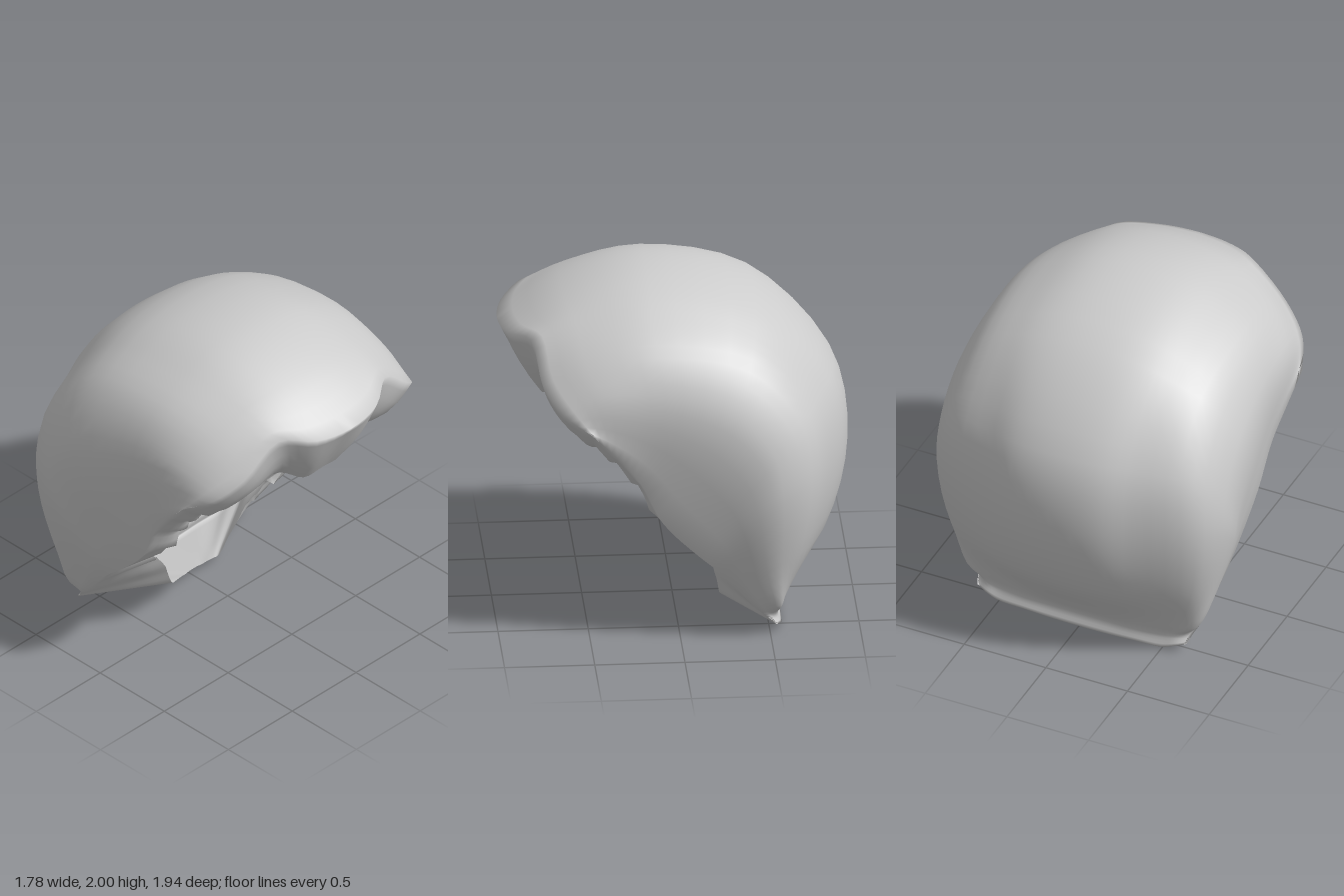
import * as THREE from 'three';
import { mergeVertices } from 'three/addons/utils/BufferGeometryUtils.js';

const V = (p) => new THREE.Vector3(...p);
const spline = (pts) => new THREE.CatmullRomCurve3(pts);
const STEP = 4; // samples between neighbouring control points

// Lengthwise curves of the shell, from front brim over the crown to the nape
const centre = [[0, 1.68, 0.97], [0, 1.89, 0.62], [0, 2, 0.15], [0, 1.855, -0.45], [0, 1.4, -0.89],
  [0, 0.96, -0.97], [0, 0.5, -0.86], [0, 0.19, -0.63], [0, 0.08, -0.56], [0, 0.005, -0.575]].map(V);
const upper = [[0.42, 1.72, 0.81], [0.44, 1.82, 0.56], [0.47, 1.89, 0.15], [0.46, 1.77, -0.43], [0.46, 1.36, -0.79],
  [0.47, 0.96, -0.86], [0.44, 0.5, -0.78], [0.38, 0.2, -0.61], [0.34, 0.08, -0.56], [0.34, 0.015, -0.575]].map(V);
const shoulder = [[0.64, 1.54, 0.76], [0.68, 1.66, 0.52], [0.72, 1.72, 0.13], [0.72, 1.62, -0.38], [0.75, 1.3, -0.67],
  [0.78, 0.95, -0.72], [0.73, 0.52, -0.66], [0.6, 0.2, -0.58], [0.51, 0.09, -0.55], [0.5, 0.02, -0.57]].map(V);
const side = [[0.78, 1.42, 0.66], [0.82, 1.48, 0.4], [0.84, 1.45, 0.1], [0.88, 1.31, -0.27], [0.89, 1.08, -0.46],
  [0.885, 0.85, -0.5], [0.8, 0.47, -0.52], [0.7, 0.2, -0.55], [0.59, 0.1, -0.54], [0.58, 0.045, -0.56]].map(V);
const sideRim = [[0.855, 1.32, 0.5], [0.83, 1.17, 0.36], [0.8, 1, 0.23], [0.775, 0.74, 0.1], [0.76, 0.54, -0.09],
  [0.75, 0.44, -0.2], [0.72, 0.3, -0.32], [0.69, 0.17, -0.43], [0.655, 0.1, -0.5], [0.64, 0.06, -0.535]].map(V);
// Broad, nearly flat strip beside the centre line
const inset = centre.map((c, i) => c.clone().lerp(upper[i], 0.25).setX(upper[i].x * 0.55));
const strands = [centre, inset, upper, shoulder, side, sideRim];

// Half outline of the face opening, top centre to bottom centre
const opening = [
  [0, 1.29, 0.74], [0.14, 1.285, 0.73], [0.25, 1.335, 0.65], [0.38, 1.26, 0.56], [0.48, 1.17, 0.47],
  [0.52, 1.11, 0.38], [0.55, 1.03, 0.3], [0.575, 0.9, 0.22], [0.57, 0.73, 0.13], [0.51, 0.57, -0.05],
  [0.45, 0.47, -0.14], [0.36, 0.36, -0.2], [0.28, 0.25, -0.21], [0.24, 0.17, -0.23], [0.18, 0.06, -0.25],
  [0.14, 0.057, -0.255], [0.1, 0.055, -0.26], [0.06, 0.05, -0.265], [0.03, 0.05, -0.27], [0, 0.05, -0.27],
].map(V);

// Adds a grid of points to a face list
function addGrid(rows, data, flip) {
  const base = data.pos.length / 3;
  const w = rows[0].length;
  rows.forEach((row) => row.forEach((p) => data.pos.push(p.x, p.y, p.z)));
  for (let i = 0; i < rows.length - 1; i++) {
    for (let j = 0; j < w - 1; j++) {
      const a = base + i * w + j, b = a + 1, c = a + w, d = c + 1;
      if (flip) data.index.push(a, c, b, b, c, d);
      else data.index.push(a, b, c, b, d, c);
    }
  }
}

const mirror = (p) => new THREE.Vector3(-p.x, p.y, p.z);

export function createModel() {
  const group = new THREE.Group();
  const grey = new THREE.MeshStandardMaterial({ color: 0xcccccc, side: THREE.DoubleSide });
  grey.name = 'light grey';
  const data = { pos: [], index: [] };

  // Outer shell: cross-sections from side to side
  const curves = strands.map(spline);
  const nu = (centre.length - 1) * STEP;
  const half = (strands.length - 1) * STEP;
  const shell = [];
  for (let i = 0; i <= nu; i++) {
    const left = curves.map((c) => c.getPoint(i / nu));
    const section = spline([...left.slice(1).reverse().map(mirror), ...left]);
    const row = [];
    for (let j = 0; j <= 2 * half; j++) row.push(section.getPoint(j / (2 * half)));
    shell.push(row);
  }
  addGrid(shell, data, false);

  // Outer rim, following the edge of the shell
  const rim = [
    ...shell[0].slice(half),
    ...shell.slice(1).map((row) => row[2 * half]),
    ...shell[nu].slice(half, 2 * half).reverse(),
  ];

  // Edge of the opening, with stepped locks at the sides
  const edge = spline(opening);
  const inner = rim.map((_, j) => {
    const p = edge.getPoint(j / (rim.length - 1));
    if (j > 16 && j < 44) {
      const tooth = (j % STEP) / STEP - 0.3;
      p.y -= 0.05 * tooth;
      p.z += 0.03 * tooth;
    }
    return p;
  });

  // Folded lip from the rim to the opening, swelling forward beside the fringe
  const lip = [0, 0.12, 0.3, 0.5, 0.7, 0.85, 1].map((t) => rim.map((p, j) => {
    const q = p.clone().lerp(inner[j], t);
    const swell = 0.055 * Math.sin(Math.PI * t) * Math.sin(Math.PI * Math.min(1, j / 32));
    q.y -= 0.6 * swell;
    q.z += 0.8 * swell;
    return q;
  }));
  addGrid(lip, data, true);
  addGrid(lip.map((row) => row.map(mirror)), data, false);

  // Weld everything so the brim shades softly
  let geometry = new THREE.BufferGeometry();
  geometry.setAttribute('position', new THREE.Float32BufferAttribute(data.pos, 3));
  geometry.setIndex(data.index);
  geometry = mergeVertices(geometry, 1e-4);
  geometry.computeVertexNormals();

  const mesh = new THREE.Mesh(geometry, grey);
  mesh.name = 'hairShell';
  group.add(mesh);
  return group;
}
